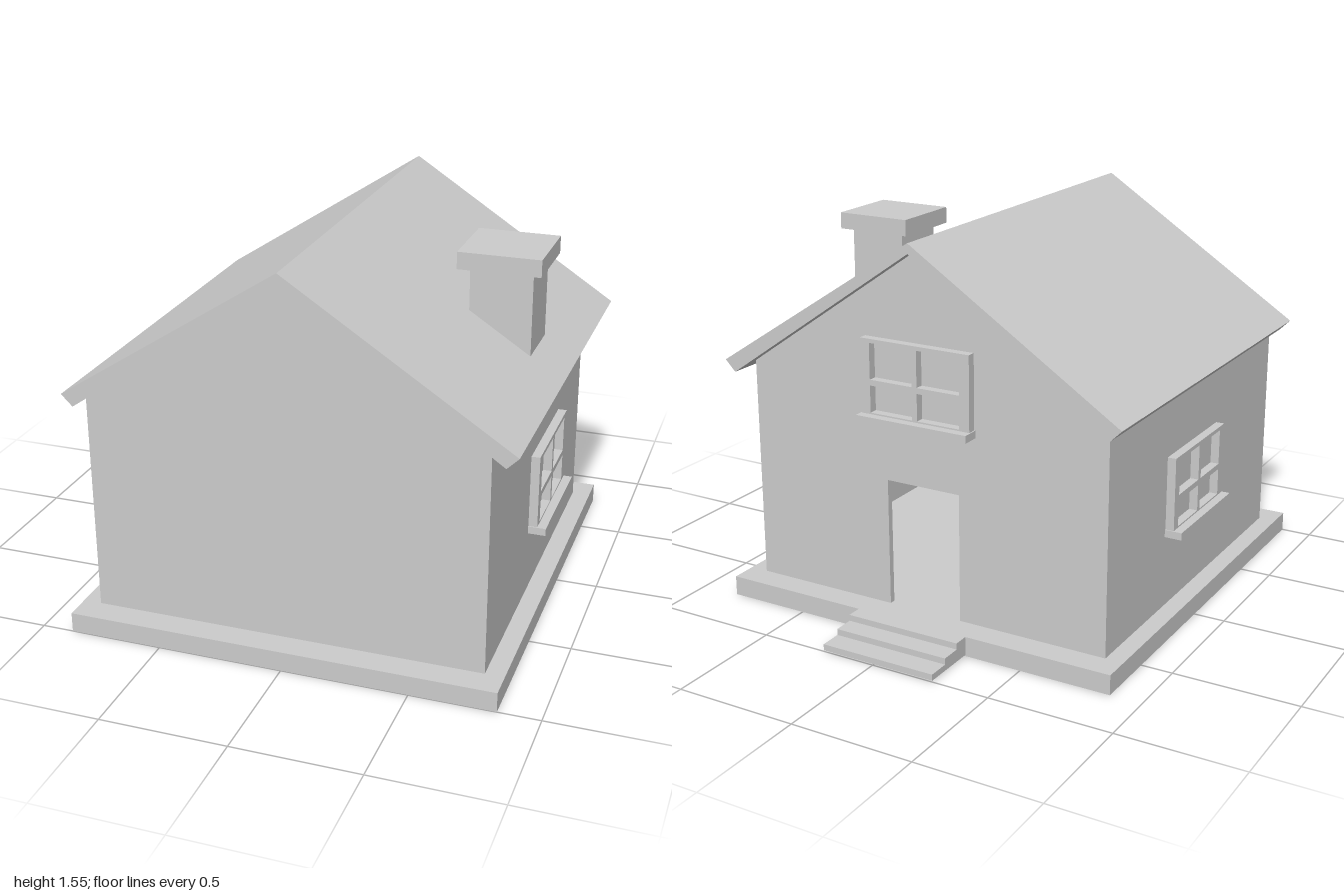
import * as THREE from 'three';

const material = new THREE.MeshStandardMaterial({ color: 0xcccccc, flatShading: true });

function add(parent, name, geometry) {
  const mesh = new THREE.Mesh(geometry, material);
  mesh.name = name;
  parent.add(mesh);
  return mesh;
}

// Box given by its minimum and maximum on each axis
function block(parent, name, x0, x1, y0, y1, z0, z1) {
  const g = new THREE.BoxGeometry(x1 - x0, y1 - y0, z1 - z0);
  g.translate((x0 + x1) / 2, (y0 + y1) / 2, (z0 + z1) / 2);
  return add(parent, name, g);
}

// Outline in x, y extruded from z0 to z1
function prism(parent, name, points, z0, z1) {
  const shape = new THREE.Shape(points.map(([x, y]) => new THREE.Vector2(x, y)));
  const g = new THREE.ExtrudeGeometry(shape, { depth: z1 - z0, bevelEnabled: false });
  g.translate(0, 0, z0);
  return add(parent, name, g);
}

// Four-pane window facing +z, its back on z = 0 and the frame's foot on y = 0
function createWindow(name) {
  const w = new THREE.Group();
  w.name = name;
  const half = 0.238, height = 0.297, depth = 0.035;
  const shape = new THREE.Shape();
  shape.moveTo(-half, 0).lineTo(half, 0).lineTo(half, height).lineTo(-half, height).closePath();
  for (const [x0, x1] of [[-0.198, -0.011], [0.011, 0.195]]) {
    for (const [y0, y1] of [[0.006, 0.114], [0.137, 0.281]]) {
      const pane = new THREE.Path();
      pane.moveTo(x0, y0).lineTo(x0, y1).lineTo(x1, y1).lineTo(x1, y0).closePath();
      shape.holes.push(pane);
    }
  }
  add(w, 'windowFrame', new THREE.ExtrudeGeometry(shape, { depth, bevelEnabled: false }));
  block(w, 'windowSill', -0.243, 0.243, -0.03, 0, 0, 0.07);
  return w;
}

export function createModel() {
  const house = new THREE.Group();
  house.name = 'house';

  // Foundation slab and entrance steps
  block(house, 'foundation', -0.873, 0.835, 0, 0.08, -0.765, 1);
  prismSteps(house);

  // Hollow walls: two gables (the back one with an open doorway) and two sides
  const left = 0.76, right = -0.80, t = 0.025, floor = 0.08;
  const under = (x) => 1.515 - 0.69 * Math.abs(x);
  const top = [[left, under(left)], [0, under(0)], [right, under(right)]];
  prism(house, 'frontWall', [[right, floor], [left, floor], ...top], 0.893 - t, 0.893);
  prism(house, 'backWall', [
    [right, floor], [-0.176, floor], [-0.176, 0.6], [0.144, 0.6], [0.144, floor],
    [left, floor], ...top,
  ], -0.658, -0.658 + t);
  for (const [name, x, s] of [['leftWall', left, -1], ['rightWall', right, 1]]) {
    const inner = x + s * t;
    const outline = [[x, floor], [inner, floor], [inner, under(inner)], [x, under(x)]];
    prism(house, name, outline, -0.658 + t, 0.893 - t);
  }

  // Gabled roof as one folded slab
  prism(house, 'roof', [
    [0, 1.555], [-0.87, 0.99], [-0.825, 0.945], [0, 1.515], [0.825, 0.945], [0.87, 0.99],
  ], -0.71, 0.952);

  // Chimney cut to the slope of the roof, with its cap
  prism(house, 'chimney', [[0.493, 1.215], [0.736, 1.055], [0.736, 1.405], [0.493, 1.405]], 0, 0.243);
  block(house, 'chimneyCap', 0.45, 0.773, 1.404, 1.472, -0.038, 0.279);

  // Windows on both sides and above the door
  for (const [name, x, y, z, turn] of [
    ['leftWindow', 0.775, 0.406, 0.088, Math.PI / 2],
    ['rightWindow', -0.80, 0.406, 0.088, -Math.PI / 2],
    ['backWindow', -0.007, 0.87, -0.658, Math.PI],
  ]) {
    const w = createWindow(name);
    w.position.set(x, y, z);
    w.rotation.y = turn;
    house.add(w);
  }
  return house;
}

// Three steps leading down from the doorway
function prismSteps(parent) {
  const ends = [-0.827, -0.91, -1];
  const tops = [0.08, 0.055, 0.03];
  let start = -0.765;
  ends.forEach((end, i) => {
    block(parent, 'step' + (i + 1), -0.264, 0.224, 0.005, tops[i], end, start);
    start = end;
  });
}
